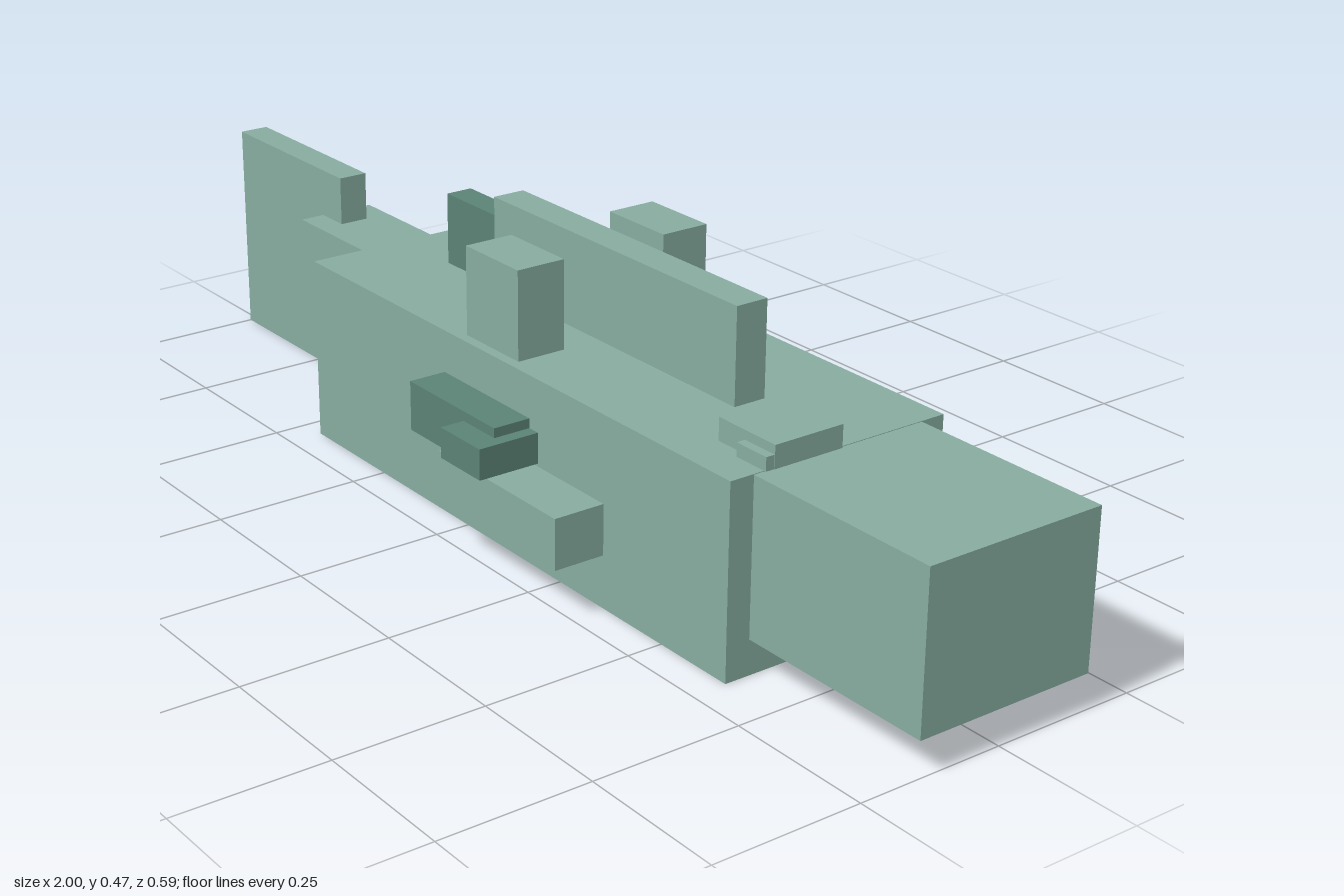
import * as THREE from 'three';

export function createModel() {
  const model = new THREE.Group();
  model.name = 'blockFish';
  const paleGreen = new THREE.MeshStandardMaterial({ color: 0x87ac9f });
  paleGreen.name = 'paleGreen';
  const darkGreen = new THREE.MeshStandardMaterial({ color: 0x5b8375 });
  darkGreen.name = 'darkGreen';

  // A box given by its extents along each axis
  function block(name, [x0, x1], [y0, y1], [z0, z1], material = paleGreen) {
    const mesh = new THREE.Mesh(new THREE.BoxGeometry(x1 - x0, y1 - y0, z1 - z0), material);
    mesh.position.set((x0 + x1) / 2, (y0 + y1) / 2, (z0 + z1) / 2);
    mesh.name = name;
    model.add(mesh);
  }

  const top = 0.315;

  // Body and head
  block('body', [-0.453, 0.648], [0, top], [-0.21, 0.19]);
  block('head', [0.64, 1], [0.058, top - 0.001], [-0.167, 0.148]);

  // Tail, narrowing to an upright fin
  block('tailBase', [-0.552, -0.45], [0.07, 0.199], [-0.155, 0.13]);
  block('tailStem', [-0.715, -0.45], [0.091, 0.29], [-0.083, 0.058]);
  block('tailFin', [-1, -0.652], [0, 0.375], [-0.038, 0.014]);

  // Back ridge
  block('dorsalFin', [-0.166, 0.449], [top, 0.473], [-0.038, 0.019]);
  block('rearDorsalFin', [-0.315, -0.166], [top, 0.437], [-0.036, 0.011], darkGreen);
  block('dorsalFoot', [-0.125, 0.018], [top, 0.375], [-0.052, 0.034]);

  // Pair of upright posts and pair of side fins about the body's middle
  const middle = -0.0095;
  for (const [side, s] of [['front', 1], ['back', -1]]) {
    const span = (a, b) => [middle + s * a, middle + s * b].sort((p, q) => p - q);
    block(side + 'Post', [-0.021, 0.118], [top, 0.463], span(0.096, 0.182));
    block(side + 'SideFin', [0.054, 0.359], [0.088, 0.172], span(0.198, 0.288));
  }

  // Raised brow plates
  block('browPlate', [0.53, 0.653], [top, 0.352], [-0.01, 0.115]);
  block('browStep', [0.588, 0.652], [top, 0.337], [0.1, 0.13]);

  // Dark gill on the front flank
  block('gill', [-0.06, 0.171], [0.161, 0.244], [0.18, 0.255], darkGreen);
  block('gillKnob', [0.089, 0.193], [0.177, 0.228], [0.18, 0.297], darkGreen);

  return model;
}
